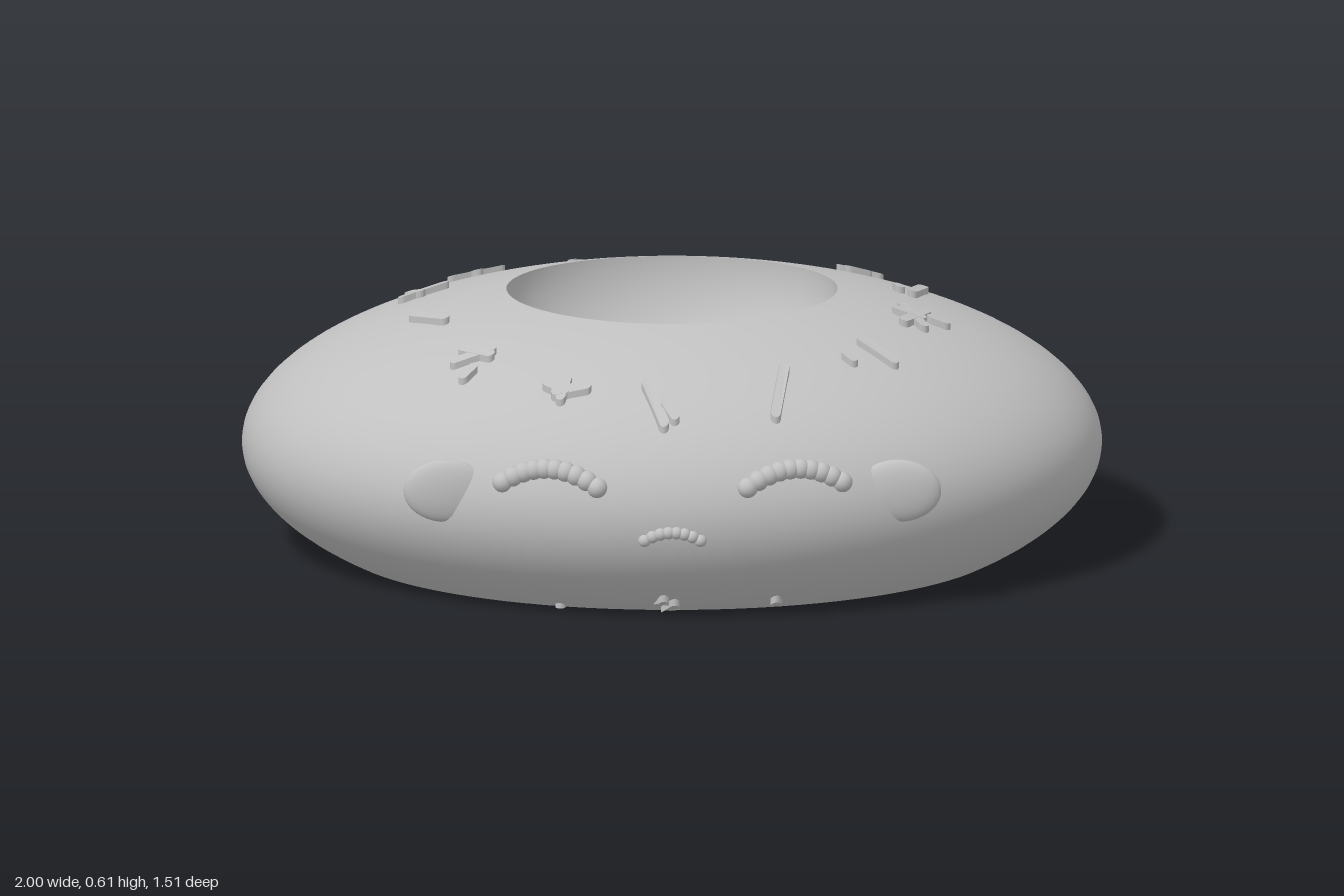
import * as THREE from 'three';
import { ParametricGeometry } from 'three/addons/geometries/ParametricGeometry.js';

// Ellipsoid body: half axes and centre
const A = 1, B = 0.395, C = 0.75, CY = 0.25, CZ = -0.005;
const HOLE = { a: 0.385, c: 0.305, z: -0.011, depth: 0.29 };

const topY = (x, z) => CY + B * Math.sqrt(Math.max(0, 1 - (x / A) ** 2 - ((z - CZ) / C) ** 2));
const frontZ = (x, y) => CZ + C * Math.sqrt(Math.max(0, 1 - (x / A) ** 2 - ((y - CY) / B) ** 2));

// Sprinkle bars in plan: x1, z1, x2, z2
const SPRINKLES = [
  [-0.07, -0.61, 0.015, -0.62], [-0.05, -0.635, -0.03, -0.58],
  [0.245, -0.605, 0.255, -0.56], [0.255, -0.52, 0.285, -0.51],
  [-0.305, -0.51, -0.28, -0.545], [-0.23, -0.495, -0.2, -0.525],
  [-0.51, -0.36, -0.4, -0.4], [-0.46, -0.38, -0.45, -0.36],
  [0.395, -0.39, 0.48, -0.385], [0.455, -0.38, 0.415, -0.365],
  [-0.625, -0.115, -0.53, -0.15], [-0.61, -0.15, -0.585, -0.12],
  [0.585, -0.195, 0.56, -0.085], [0.525, -0.115, 0.53, -0.1],
  [-0.6, 0.08, -0.53, 0.15],
  [0.535, 0.06, 0.585, 0.155], [0.59, 0.065, 0.54, 0.155], [0.525, 0.095, 0.58, 0.11],
  [0.605, 0.095, 0.635, 0.1],
  [-0.505, 0.365, -0.42, 0.35], [-0.485, 0.325, -0.425, 0.37], [-0.485, 0.425, -0.465, 0.405],
  [0.44, 0.305, 0.515, 0.36], [0.405, 0.375, 0.42, 0.39],
  [-0.29, 0.505, -0.25, 0.535], [-0.27, 0.535, -0.2, 0.53], [-0.245, 0.5, -0.26, 0.55],
  [-0.06, 0.535, -0.02, 0.635], [-0.015, 0.59, 0.005, 0.62],
  [0.26, 0.465, 0.24, 0.595],
];

// Round-ended bar laid on the body surface; the lower ones are cut off at the ground
function sprinkleGeometry([x1, z1, x2, z2], lower) {
  const r = 0.012, L = Math.hypot(x2 - x1, z2 - z1);
  const dx = (x2 - x1) / L, dz = (z2 - z1) / L;
  const s = new THREE.Shape();
  s.absarc(L, 0, r, -Math.PI / 2, Math.PI / 2);
  s.absarc(0, 0, r, Math.PI / 2, Math.PI * 1.5);
  const g = new THREE.ExtrudeGeometry(s, { depth: 0.03, bevelEnabled: false, curveSegments: 6 });
  const p = g.attributes.position;
  for (let i = 0; i < p.count; i++) {
    const u = p.getX(i), w = p.getY(i) * (lower ? 1 : -1), h = p.getZ(i) - 0.014;
    const x = x1 + dx * u - dz * w, z = z1 + dz * u + dx * w;
    const y = topY(x, z) + h;
    p.setXYZ(i, x, lower ? Math.max(0, 2 * CY - y) : y, z);
  }
  g.computeVertexNormals();
  return g;
}

export function createModel() {
  const model = new THREE.Group();
  const grey = new THREE.MeshStandardMaterial({ color: 0xc0c0c0 });
  grey.name = 'plain grey';
  const add = (name, geometry, parent = model) => {
    const mesh = new THREE.Mesh(geometry, grey);
    mesh.name = name;
    parent.add(mesh);
    return mesh;
  };

  // Outer shell, from the hole rim down to the flat base
  const rimAngle = Math.asin(HOLE.a);
  const baseAngle = Math.PI - Math.acos(CY / B);
  add('bodyShell', new ParametricGeometry((u, v, t) => {
    const th = u * Math.PI * 2;
    const a = rimAngle + (baseAngle - rimAngle) * v;
    const k = Math.max(0, (Math.PI / 2 - a) / (Math.PI / 2 - rimAngle)) ** 2;
    const r = Math.sin(a);
    const x = A * r * Math.cos(th);
    const z = THREE.MathUtils.lerp(CZ, HOLE.z, k) +
      r * Math.sin(th) * THREE.MathUtils.lerp(C, HOLE.c / HOLE.a, k);
    const y = k > 0 ? topY(x, z) : CY + B * Math.cos(a);
    t.set(x, y, z);
  }, 96, 48));

  // Bowl-shaped hollow in the top
  add('topHollow', new ParametricGeometry((u, v, t) => {
    const th = u * Math.PI * 2, a = 0.005 + v * (Math.PI / 2 - 0.005);
    const rx = HOLE.a * Math.cos(th), rz = HOLE.c * Math.sin(th);
    const y = topY(rx, rz + HOLE.z) - HOLE.depth * Math.cos(a);
    t.set(rx * Math.sin(a), y, HOLE.z + rz * Math.sin(a));
  }, 96, 24));

  // Flat base
  const base = add('base', new THREE.CircleGeometry(Math.sin(baseAngle), 96).rotateX(Math.PI / 2));
  base.scale.z = C;
  base.position.z = CZ;

  // Arched rows of overlapping beads: eyes and mouth
  const beadArc = (name, cx, half, yEnd, rise, count, radius) => {
    const group = new THREE.Group();
    group.name = name;
    for (let i = 0; i < count; i++) {
      const s = (i / (count - 1)) * 2 - 1;
      const x = cx + half * s, y = yEnd + rise * (1 - s * s);
      const bead = add('bead', new THREE.SphereGeometry(radius, 16, 12), group);
      bead.position.set(x, y, frontZ(x, y));
    }
    model.add(group);
  };
  for (const [side, label] of [[1, 'left'], [-1, 'right']]) {
    beadArc(label + 'Eye', side * 0.285, 0.11, 0.333, 0.035, 10, 0.024);
    // Cheek: flattened ellipsoid
    const cheek = add(label + 'Cheek', new THREE.SphereGeometry(1, 32, 20));
    cheek.scale.set(0.1, 0.075, 0.025);
    cheek.position.set(side * 0.525, 0.3, 0.622);
  }
  beadArc('mouth', 0, 0.065, 0.212, 0.02, 8, 0.015);

  // Sprinkles on top, and the few that reach around to the underside
  const sprinkles = new THREE.Group();
  sprinkles.name = 'sprinkles';
  for (const bar of SPRINKLES) {
    add('sprinkle', sprinkleGeometry(bar, false), sprinkles);
    const low = Math.min(topY(bar[0], bar[1]), topY(bar[2], bar[3]));
    if (low < 2 * CY) add('lowerSprinkle', sprinkleGeometry(bar, true), sprinkles);
  }
  model.add(sprinkles);
  return model;
}
